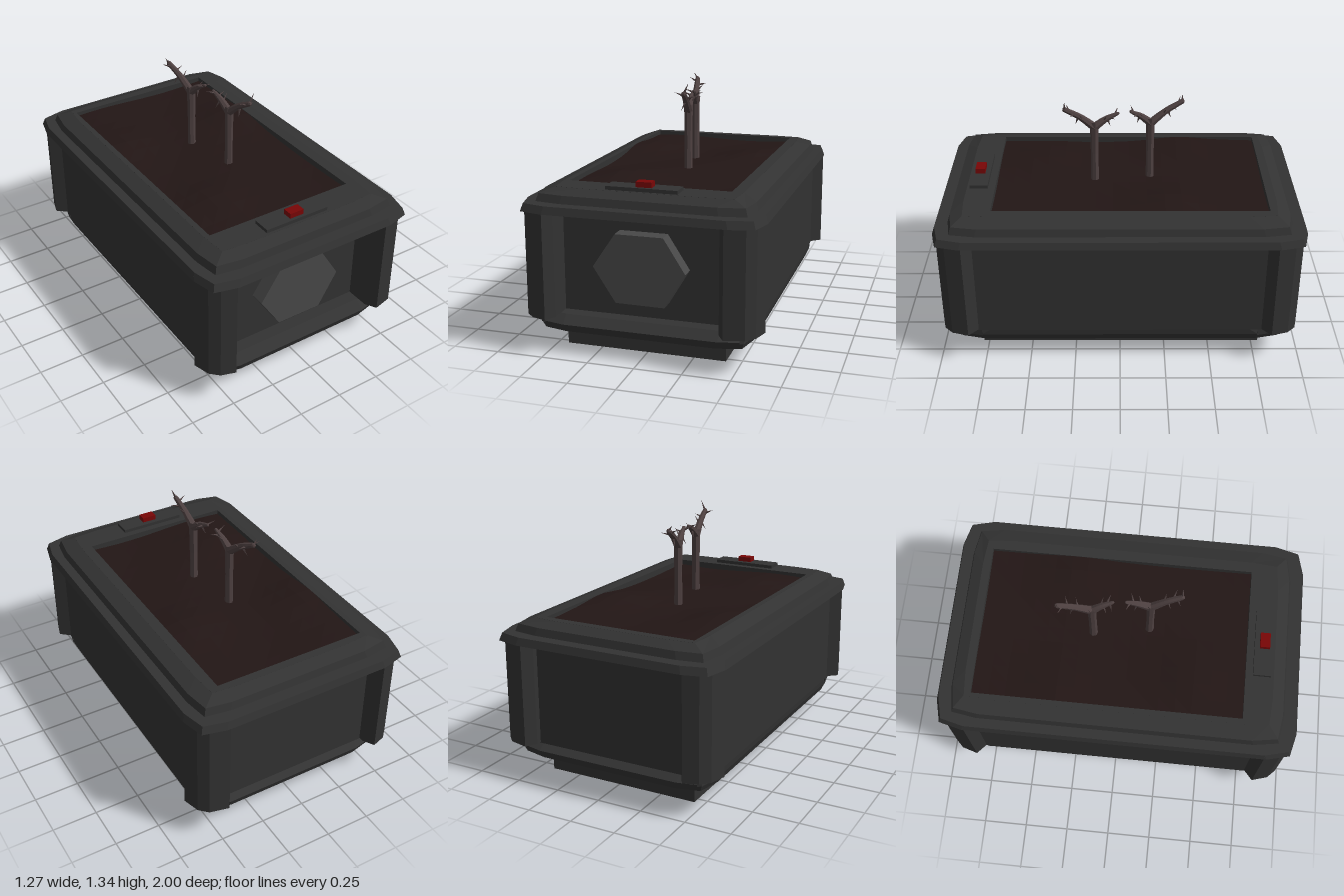
import * as THREE from 'three';

const mat = (color, extra = {}) => new THREE.MeshStandardMaterial({ color, flatShading: true, ...extra });
const dark = mat(0x323232), plate = mat(0x484848), red = mat(0x780606);
const earth = mat(0x221615, { side: THREE.DoubleSide }), bark = mat(0x4d4040);

// Rectangle with three-segment rounded corners, as [x, z] points
function outline(hx, hz, cut) {
  const c = 0.16;
  const q = [[hx, hz - c], [hx - cut, hz - cut], [hx - c, hz]];
  const flip = (sx, sz) => q.map(([x, z]) => [x * sx, z * sz]);
  return [...q, ...flip(-1, 1).reverse(), ...flip(-1, -1), ...flip(1, -1).reverse()];
}

// Stack of rings [y, halfX, halfZ, cut] from bottom to top, with optional flat caps
function stack(rings, capped) {
  const pos = [], idx = [], n = 12;
  for (const [y, hx, hz, cut] of rings) for (const [x, z] of outline(hx, hz, cut)) pos.push(x, y, z);
  for (let r = 0; r < rings.length - 1; r++) for (let i = 0; i < n; i++) {
    const a = r * n + i, b = r * n + (i + 1) % n;
    idx.push(a, a + n, b, b, a + n, b + n);
  }
  const t = (rings.length - 1) * n;
  if (capped) for (let i = 1; i < n - 1; i++) idx.push(0, i, i + 1, t, t + i + 1, t + i);
  const g = new THREE.BufferGeometry();
  g.setAttribute('position', new THREE.Float32BufferAttribute(pos, 3));
  g.setIndex(idx);
  const flat = g.toNonIndexed();
  flat.computeVertexNormals();
  return flat;
}

// Upright prism from [x, z] points, with an optional hole wound the other way
function prism(points, y0, y1, hole) {
  const toV = ([x, z]) => new THREE.Vector2(x, -z);
  const s = new THREE.Shape(points.map(toV));
  if (hole) s.holes.push(new THREE.Path(hole.map(toV)));
  const g = new THREE.ExtrudeGeometry(s, { depth: y1 - y0, bevelEnabled: false });
  return g.rotateX(-Math.PI / 2).translate(0, y0, 0);
}

function box(x0, x1, y0, y1, z0, z1) {
  return new THREE.BoxGeometry(x1 - x0, y1 - y0, z1 - z0)
    .translate((x0 + x1) / 2, (y0 + y1) / 2, (z0 + z1) / 2);
}

// Tapering limb along [x, y, z, radius] points
function limb(nodes, sides = 7) {
  const curve = new THREE.CatmullRomCurve3(nodes.map(p => new THREE.Vector3(p[0], p[1], p[2])));
  const seg = 8, g = new THREE.TubeGeometry(curve, seg, 1, sides);
  const p = g.attributes.position, v = new THREE.Vector3();
  for (let i = 0; i <= seg; i++) {
    const c = curve.getPointAt(i / seg);
    const f = i / seg * (nodes.length - 1), k = Math.min(Math.floor(f), nodes.length - 2);
    const r = THREE.MathUtils.lerp(nodes[k][3], nodes[k + 1][3], f - k);
    for (let j = 0; j <= sides; j++) {
      const n = i * (sides + 1) + j;
      v.fromBufferAttribute(p, n).sub(c).multiplyScalar(r).add(c);
      p.setXYZ(n, v.x, v.y, v.z);
    }
  }
  return g;
}

function thorn(from, dir, length) {
  const d = new THREE.Vector3(...dir).normalize();
  const g = new THREE.ConeGeometry(0.008, length, 4).translate(0, length / 2, 0);
  g.applyQuaternion(new THREE.Quaternion().setFromUnitVectors(new THREE.Vector3(0, 1, 0), d));
  return g.translate(...from);
}

export function createModel() {
  const model = new THREE.Group();
  const add = (name, geometry, material = dark, parent = model) => {
    const m = new THREE.Mesh(geometry, material);
    m.name = name;
    parent.add(m);
  };

  // Plinth, lower pan with sloping ledge, and recessed core
  add('plinth', box(-0.445, 0.42, 0, 0.1, -0.79, 0.78));
  add('lowerPan', stack([[0.085, 0.46, 0.81, 0.03], [0.12, 0.555, 0.91, 0.03],
    [0.16, 0.57, 0.925, 0.03], [0.2, 0.574, 0.87, 0.03]], true));
  add('core', box(-0.575, 0.575, 0.195, 0.78, -0.9, 0.8));

  // Corner pillars and the raised pan corners beneath them
  const corners = new THREE.Group();
  corners.name = 'corners';
  model.add(corners);
  for (const sx of [-1, 1]) for (const sz of [-1, 1]) {
    const place = points => points.map(([x, z]) => [x * sx, z * sz]);
    const ix = sx > 0 ? 0.42 : 0.445;
    const section = [[ix, 0.78], [ix, 0.93], [ix + 0.035, 0.99], [0.56, 0.965], [0.605, 0.92],
      [0.632, 0.83], [0.575, 0.78]];
    add('cornerPillar', prism(place(section), 0.2, 0.78), dark, corners);
    add('panCorner', prism(place([[0.52, 0.76], [0.52, 0.908], [0.541, 0.896], [0.572, 0.76]]), 0.155, 0.201), dark, corners);
  }

  // Flared lip and stepped top with the planting opening
  add('lip', stack([[0.76, 0.45, 0.78, 0.03], [0.76, 0.637, 1, 0.032], [0.8, 0.625, 0.987, 0.032],
    [0.8, 0.572, 0.922, 0.022], [0.84, 0.56, 0.91, 0.022], [0.868, 0.48, 0.845, 0.012]], false));
  add('topRim', prism(outline(0.481, 0.846, 0.012), 0.78, 0.868,
    [[-0.45, 0.69], [0.42, 0.69], [0.42, -0.8], [-0.45, -0.8]]));

  // Uneven soil with a few low mounds [x, z, height]
  const mounds = [[0.31, -0.28, 0.032], [-0.36, -0.34, 0.03], [-0.25, 0.4, 0.03]];
  const soil = new THREE.PlaneGeometry(0.87, 1.49, 10, 16).rotateX(-Math.PI / 2).translate(-0.015, 0, -0.055);
  const p = soil.attributes.position;
  for (let i = 0; i < p.count; i++) {
    const x = p.getX(i), z = p.getZ(i);
    let y = 0.84 + 0.008 * Math.sin(7 * x + 4 * z + 0.6);
    for (const [mx, mz, h] of mounds) y += h * Math.exp(-((x - mx) ** 2 + (z - mz) ** 2) / 0.03);
    p.setY(i, y);
  }
  soil.computeVertexNormals();
  add('soil', soil, earth);

  // Hexagonal plate on the front
  const hex = new THREE.Shape([[0.235, 0.475], [0.12, 0.655], [-0.135, 0.655], [-0.255, 0.475],
    [-0.135, 0.292], [0.125, 0.29]].map(q => new THREE.Vector2(...q)));
  add('frontPlate', new THREE.ExtrudeGeometry(hex, { depth: 0.08, bevelEnabled: false }).translate(0, 0, 0.8), plate);

  // Control panel and button
  add('controlPanel', box(-0.2, 0.18, 0.862, 0.887, 0.73, 0.83));
  add('button', box(-0.044, 0.04, 0.88, 0.915, 0.758, 0.812), red);

  // Two bare forked saplings, each with a long outer and a short inner branch
  const saplings = [
    { x: 0.028, z: 0.14, outer: [0.05, 1.285, 0.3], inner: [0.01, 1.245, 0.01], tip: [0.4, 0.9, 0], tipLength: 0.065 },
    { x: -0.022, z: -0.17, outer: [-0.06, 1.285, -0.345], inner: [0, 1.25, -0.06], tip: [-0.5, 0.8, 0], tipLength: 0.04 },
  ];
  for (const { x, z, outer, inner, tip, tipLength } of saplings) {
    const tree = new THREE.Group();
    tree.name = 'sapling';
    model.add(tree);
    add('trunk', limb([[x, 0.82, z, 0.024], [x, 1.05, z, 0.022], [x, 1.205, z, 0.025]]), bark, tree);
    for (const [[ex, ey, ez], r] of [[outer, 0.014], [inner, 0.009]]) {
      const mid = [(x + ex) / 2, THREE.MathUtils.lerp(1.18, ey, 0.55), (z + ez) / 2, 0.018];
      add('branch', limb([[x, 1.17, z, 0.024], mid, [ex, ey, ez, r]]), bark, tree);
      add('branchTip', new THREE.SphereGeometry(r, 6, 4).translate(ex, ey, ez), bark, tree);
      const dz = Math.sign(ez - z);
      for (const [t, side, lift] of [[0.4, 0.8, 0.9], [0.55, -0.4, -1], [0.7, 0.9, 0.2], [0.85, -0.9, 0.4]]) {
        const at = [x + (ex - x) * t, THREE.MathUtils.lerp(1.18, ey, t), z + (ez - z) * t];
        add('thorn', thorn(at, [side, lift, dz * 0.3], 0.06), bark, tree);
      }
    }
    add('topThorn', thorn(outer, tip, tipLength), bark, tree);
  }
  return model;
}
